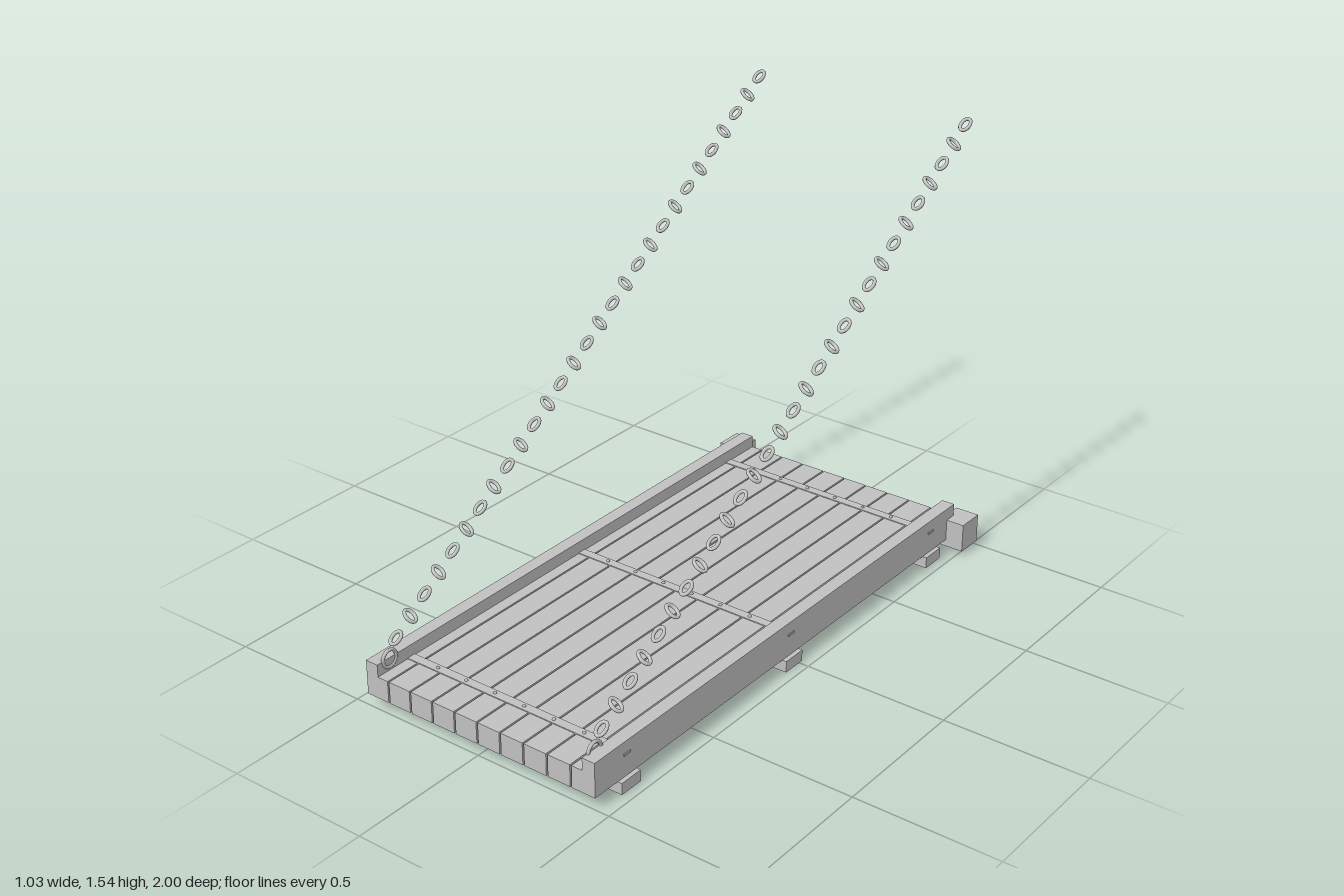
import * as THREE from 'three';

const grey = new THREE.MeshStandardMaterial({ color: 0xc0c0c0 });
grey.name = 'plain grey';

function add(parent, name, geometry, x = 0, y = 0, z = 0) {
  const mesh = new THREE.Mesh(geometry, grey);
  mesh.name = name;
  mesh.position.set(x, y, z);
  parent.add(mesh);
  return mesh;
}

// Box given by its limits on each axis
function box(parent, name, x0, x1, y0, y1, z0, z1) {
  return add(parent, name, new THREE.BoxGeometry(x1 - x0, y1 - y0, z1 - z0),
    (x0 + x1) / 2, (y0 + y1) / 2, (z0 + z1) / 2);
}

// Oval chain link, long along y, flat in the xy plane
function linkGeometry(halfWidth, halfLength, wire) {
  const points = [];
  for (let i = 0; i < 12; i++) {
    const a = (i / 12) * Math.PI * 2;
    points.push(new THREE.Vector3(Math.cos(a) * halfWidth, Math.sin(a) * halfLength, 0));
  }
  return new THREE.TubeGeometry(new THREE.CatmullRomCurve3(points, true), 20, wire, 8, true);
}

export function createModel() {
  const model = new THREE.Group();
  model.name = 'drawbridge';
  const back = -0.945, front = 1, deckBottom = 0.04, deckTop = 0.117;

  // Deck planks, with narrow gaps between them
  const deck = new THREE.Group();
  deck.name = 'deck';
  model.add(deck);
  for (let i = 1; i < 9; i++) {
    const x = -0.45 + i * 0.09;
    box(deck, 'plank', x + 0.003, x + 0.087, deckBottom, deckTop, back, front);
  }

  // Outer planks with a raised kerb along the edge
  for (const s of [-1, 1]) {
    const profile = new THREE.Shape([
      [0.363, deckBottom], [0.45, deckBottom], [0.45, 0.16],
      [0.403, 0.16], [0.403, deckTop], [0.363, deckTop],
    ].map(([x, y]) => new THREE.Vector2(s * x, y)));
    add(deck, 'edgePlank', new THREE.ExtrudeGeometry(profile,
      { depth: front - back, bevelEnabled: false }), 0, 0, back);
  }

  // Cross beams below, and nailed straps above
  const nail = new THREE.SphereGeometry(0.006, 8, 6);
  for (const z of [0.853, 0.028, -0.797]) {
    box(model, 'crossBeam', -0.465, 0.465, 0, deckBottom, z - 0.044, z + 0.044);
    box(model, 'strap', -0.453, 0.453, 0.113, 0.12, z - 0.016, z + 0.016);
    for (let i = 0; i < 6; i++) add(model, 'nail', nail, -0.29 + i * 0.116, 0.12, z);
  }

  // Hinge axle with its bearing blocks
  const axle = add(model, 'axle', new THREE.CylinderGeometry(0.036, 0.036, 0.9, 24), 0, 0.067, -0.953);
  axle.rotation.z = Math.PI / 2;
  for (const s of [-1, 1]) {
    box(model, 'bearingBlock', s * 0.472 - 0.043, s * 0.472 + 0.043, 0.015, 0.116, -1, -0.902);
  }

  // Lifting chains: links alternate by a quarter turn about the vertical
  const link = linkGeometry(0.0155, 0.0235, 0.006);
  const eye = new THREE.TorusGeometry(0.029, 0.006, 8, 24);
  const slope = -Math.atan2(0.133, 0.093);
  for (const s of [-1, 1]) {
    const chain = new THREE.Group();
    chain.name = s > 0 ? 'leftChain' : 'rightChain';
    chain.position.x = s * 0.405;
    model.add(chain);
    add(chain, 'eyeRing', eye, 0, 0.157, 0.945).rotation.y = Math.PI / 2;
    for (let i = 0; i < 29; i++) {
      const t = i / 28;
      const part = add(chain, 'chainLink', link, 0, 0.213 + 1.304 * t, 0.912 - 1.867 * t);
      part.rotation.order = 'YXZ';
      part.rotation.set(slope, i % 2 ? Math.PI / 2 : 0, 0);
    }
  }
  return model;
}
